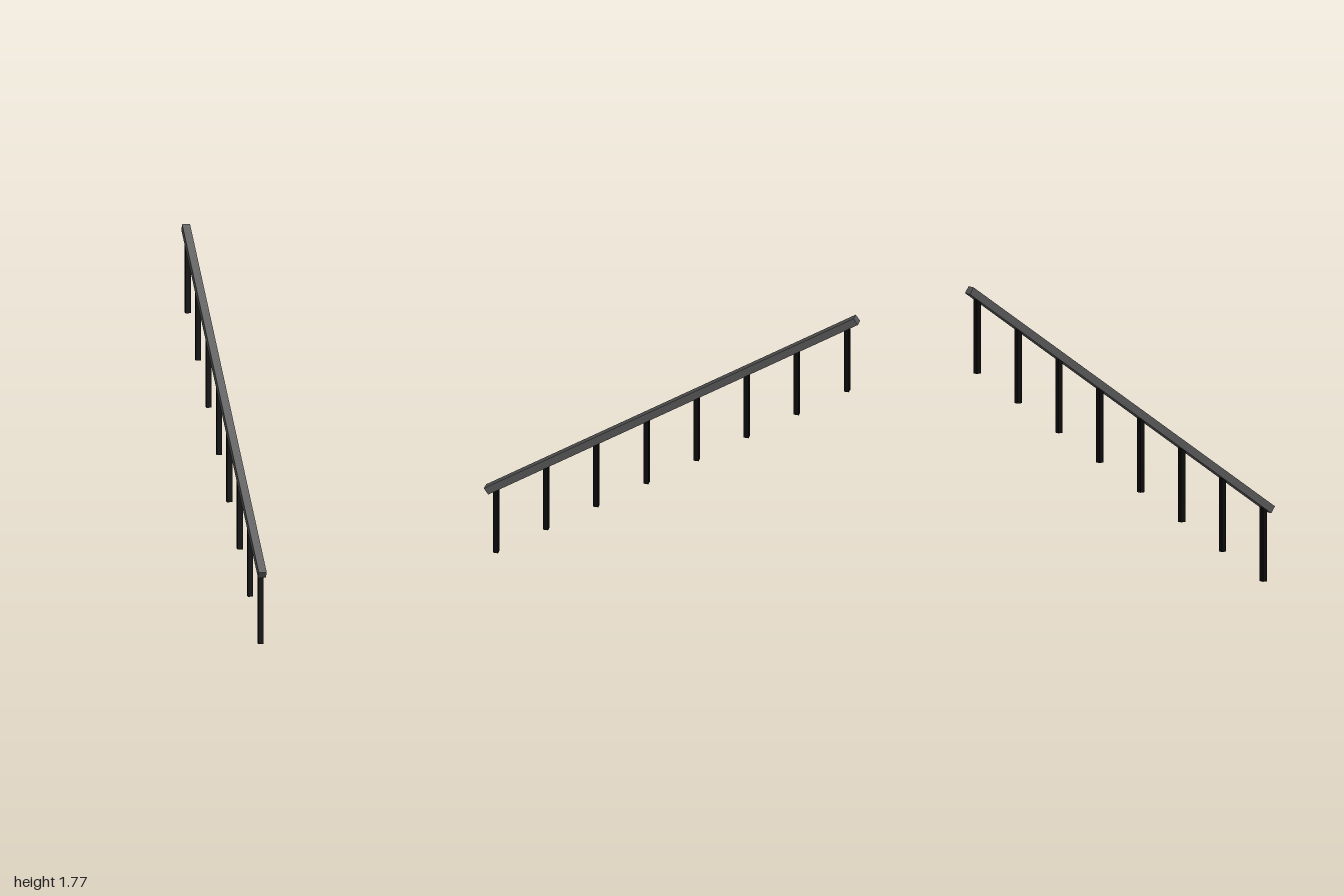
import * as THREE from 'three';

export function createModel() {
  const group = new THREE.Group();
  const railMaterial = new THREE.MeshStandardMaterial({ color: 0x555555 });
  const postMaterial = new THREE.MeshStandardMaterial({ color: 0x0a0a0a });

  // Sloping handrail, rising towards the back
  const slope = Math.atan(0.7015);
  const thickness = 0.041;
  const length = (2 - thickness * Math.sin(slope)) / Math.cos(slope);
  const centreY = 1.064;
  const rail = new THREE.Mesh(new THREE.BoxGeometry(thickness, thickness, length), railMaterial);
  rail.name = 'handrail';
  rail.position.y = centreY;
  rail.rotation.x = slope;
  group.add(rail);

  // Evenly spaced square posts, each ending inside the rail
  const count = 8;
  const postGeometry = new THREE.BoxGeometry(0.027, 0.4, 0.027);
  for (let i = 0; i < count; i++) {
    const z = 0.94 - i * 0.268;
    const post = new THREE.Mesh(postGeometry, postMaterial);
    post.name = `post${i + 1}`;
    post.position.set(0, 0.2 + i * 0.188, z);
    group.add(post);
  }
  return group;
}
